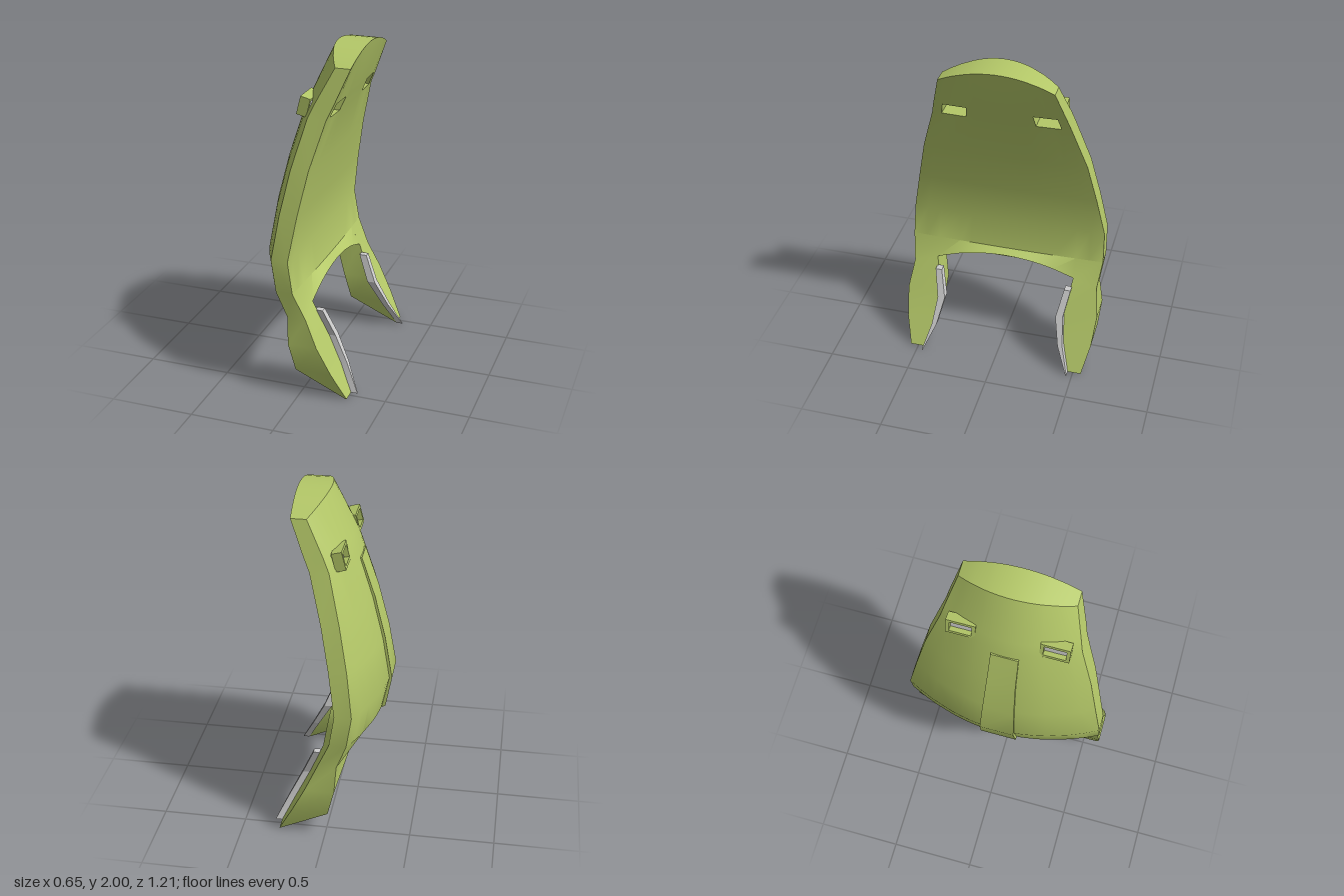
import * as THREE from 'three';
import { toCreasedNormals } from 'three/addons/utils/BufferGeometryUtils.js';

const green = new THREE.MeshStandardMaterial({ color: 0xb4c868 });
green.name = 'olive green';
const grey = new THREE.MeshStandardMaterial({ color: 0xcccccc });
grey.name = 'light grey';

// Turns a list of quads (four [x, y, z] corners each) into a creased geometry
function quadGeometry(quads, crease = 0.45) {
  const pos = [];
  for (const [a, b, c, d] of quads) pos.push(...a, ...b, ...c, ...a, ...c, ...d);
  const g = new THREE.BufferGeometry();
  g.setAttribute('position', new THREE.Float32BufferAttribute(pos, 3));
  return toCreasedNormals(g, crease);
}

// Quads through four-cornered sections running downwards; side -1 mirrors in z
function loft(sections, side = 1, capTop = true) {
  const quads = [];
  for (let r = 0; r < sections.length - 1; r++) {
    for (let i = 0; i < 4; i++) {
      const j = (i + 1) % 4;
      quads.push([sections[r][i], sections[r][j], sections[r + 1][j], sections[r + 1][i]]);
    }
  }
  quads.push([...sections[sections.length - 1]]);
  if (capTop) quads.push([...sections[0]].reverse());
  if (side > 0) return quads;
  return quads.map((q) => q.map(([x, y, z]) => [x, y, -z]).reverse());
}

// Body rows: height, half width, outer x at centre, outer x at edge, inner x at edge
const ROWS = [
  [2.0, 0.33, 0.04, 0.13, 0.22],
  [1.72, 0.385, -0.09, 0.03, 0.14],
  [1.64, 0.405, -0.122, -0.005, 0.105],
  [1.36, 0.49, -0.21, -0.075, 0.03],
  [1.1, 0.545, -0.275, -0.125, -0.02],
  [0.84, 0.595, -0.32, -0.16, -0.06],
  [0.65, 0.6, -0.28, -0.13, -0.03],
];
const HALF = [0.12, 0.25, 0.38, 0.5, 0.72, 0.86, 1];
const COLS = [...HALF.map((u) => -u).reverse(), 0, ...HALF];
const ARCH = 0.72;

function bodyPoint(inner, r, c) {
  const u = COLS[c];
  if (r === ROWS.length) { // arched lower rim
    const k = (u / ARCH) ** 2;
    return [inner ? 0.03 : -0.24 + 0.11 * k, 0.63 - 0.09 * k, u * 0.6];
  }
  const [y, w, xc, xe, xi] = ROWS[r];
  const x = inner ? xi + 0.01 * (1 - u * u) : xc + (xe - xc) * u * u;
  return [x, r === 0 ? y - 0.08 * u * u : y, u * w];
}

// A cell is solid unless it is an eye opening or lies beside the arch
function solid(r, c) {
  if (r < 0 || c < 0 || r >= ROWS.length || c >= COLS.length - 1) return false;
  const u = Math.abs(COLS[c] + COLS[c + 1]) / 2;
  if (r === 1 && u > 0.5 && u < 0.86) return false;
  return r < ROWS.length - 1 || u < ARCH;
}

function bodyQuads() {
  const quads = [];
  const out = (r, c) => bodyPoint(false, r, c);
  const inn = (r, c) => bodyPoint(true, r, c);
  for (let r = 0; r < ROWS.length; r++) {
    for (let c = 0; c < COLS.length - 1; c++) {
      if (!solid(r, c)) continue;
      quads.push([out(r, c), out(r + 1, c), out(r + 1, c + 1), out(r, c + 1)]);
      quads.push([inn(r, c), inn(r, c + 1), inn(r + 1, c + 1), inn(r + 1, c)]);
      // Walls wherever the neighbouring cell is empty
      if (!solid(r - 1, c)) quads.push([out(r, c), out(r, c + 1), inn(r, c + 1), inn(r, c)]);
      if (!solid(r + 1, c)) quads.push([out(r + 1, c), inn(r + 1, c), inn(r + 1, c + 1), out(r + 1, c + 1)]);
      if (!solid(r, c - 1)) quads.push([out(r, c), inn(r, c), inn(r + 1, c), out(r + 1, c)]);
      if (!solid(r, c + 1)) quads.push([out(r, c + 1), out(r + 1, c + 1), inn(r + 1, c + 1), inn(r, c + 1)]);
    }
  }
  return quads;
}

// Leg sections
const LEG = [
  [[-0.202, 0.65, 0.432], [-0.025, 0.65, 0.432], [-0.03, 0.65, 0.6], [-0.13, 0.65, 0.6]],
  [[-0.13, 0.54, 0.432], [0.03, 0.54, 0.432], [0.04, 0.49, 0.58], [-0.07, 0.49, 0.58]],
  [[-0.06, 0.33, 0.395], [0.115, 0.33, 0.395], [0.115, 0.33, 0.605], [-0.06, 0.33, 0.605]],
  [[-0.02, 0.165, 0.415], [0.197, 0.165, 0.415], [0.197, 0.165, 0.59], [-0.02, 0.165, 0.59]],
  [[0.275, 0, 0.465], [0.28, 0, 0.465], [0.28, 0, 0.55], [0.275, 0, 0.55]],
];

// A level rectangular section
const rect = (y, x0, x1, z0, z1) => [[x0, y, z0], [x1, y, z0], [x1, y, z1], [x0, y, z1]];

function rectShape(Type, w, h) {
  const s = new Type();
  s.moveTo(-w, -h).lineTo(w, -h).lineTo(w, h).lineTo(-w, h).closePath();
  return s;
}

export function createModel() {
  const model = new THREE.Group();
  const add = (name, geometry, material, parent = model) => {
    const mesh = new THREE.Mesh(geometry, material);
    mesh.name = name;
    parent.add(mesh);
    return mesh;
  };

  // Curved shell with both legs
  add('shell', quadGeometry([...bodyQuads(), ...loft(LEG, 1, false), ...loft(LEG, -1, false)]), green);

  // Raised strip down the convex side, hooking under at the bottom
  const ridge = [
    [-0.13, 1.6, 0.08], [-0.21, 1.36, 0.085], [-0.275, 1.1, 0.095], [-0.32, 0.84, 0.105],
    [-0.285, 0.65, 0.112], [-0.21, 0.605, 0.11], [-0.13, 0.53, 0.108],
  ].map(([x, y, h]) => rect(y, x - 0.01, x + 0.04, -h, h));
  add('centreRidge', quadGeometry(loft(ridge)), green);

  // Blade along the inside of each leg
  const blade = [
    rect(0.485, 0.045, 0.09, 0.39, 0.43),
    rect(0.32, 0.11, 0.16, 0.355, 0.4),
    rect(0.16, 0.2, 0.24, 0.39, 0.42),
    rect(0, 0.28, 0.32, 0.462, 0.468),
  ];

  // Eye frame, open in the middle
  const frameShape = rectShape(THREE.Shape, 0.085, 0.055);
  frameShape.holes.push(rectShape(THREE.Path, 0.064, 0.037));
  const frame = new THREE.ExtrudeGeometry(frameShape, { depth: 0.06, bevelEnabled: false });
  frame.rotateY(-Math.PI / 2);

  for (const side of [1, -1]) {
    const label = side > 0 ? 'left' : 'right';
    add(label + 'Blade', quadGeometry(loft(blade, side), 0.2), grey);

    const eye = new THREE.Group();
    eye.name = label + 'Eye';
    eye.position.set(-0.02, 1.68, side * 0.267);
    eye.rotation.z = -0.25;
    add('eyeFrame', frame, green, eye);
    add('eyeLens', new THREE.BoxGeometry(0.006, 0.08, 0.135), grey, eye).position.x = -0.025;
    model.add(eye);
  }
  return model;
}
